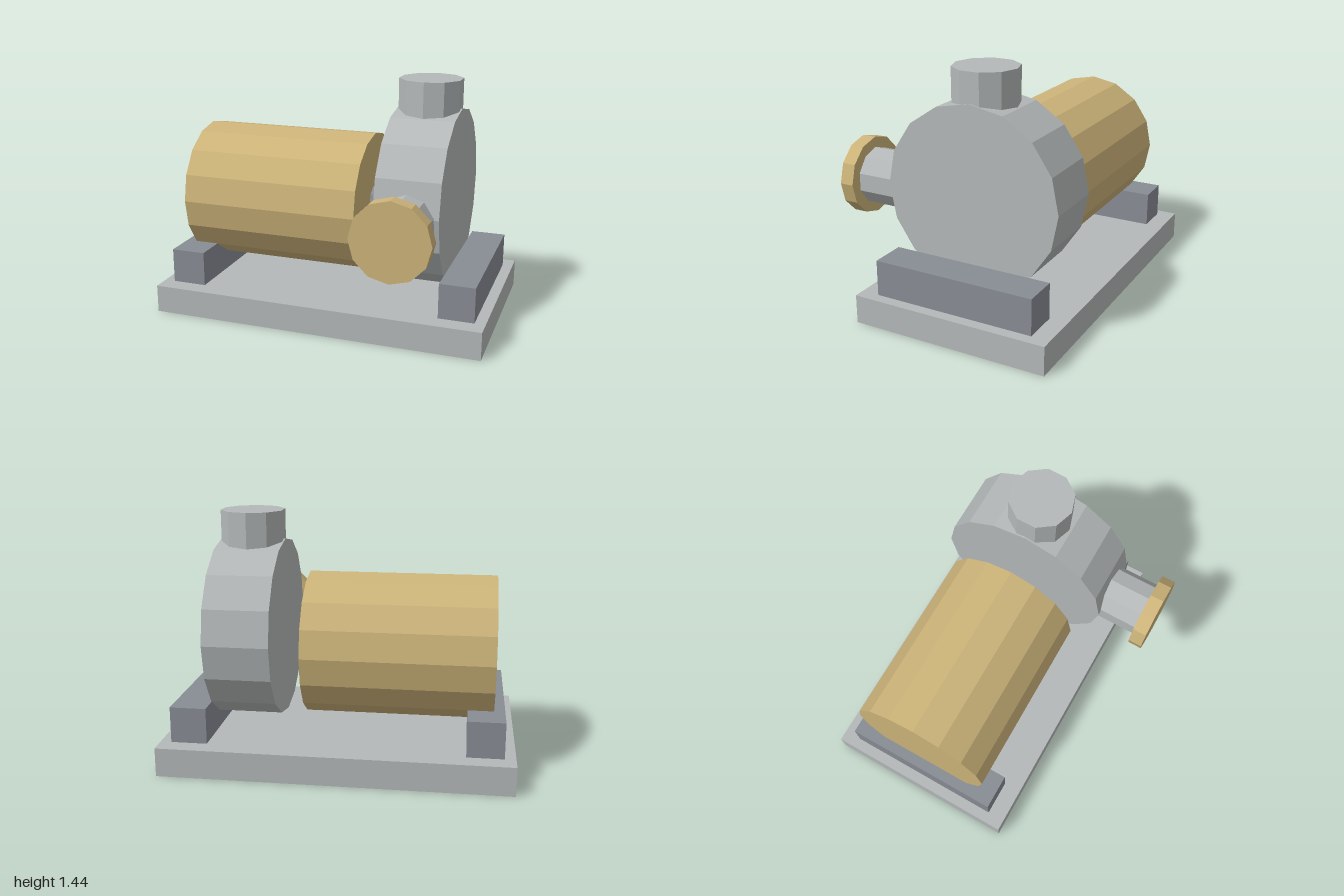
import * as THREE from 'three';

export function createModel() {
  const model = new THREE.Group();
  model.name = 'pump';

  const material = (name, color) => {
    const m = new THREE.MeshStandardMaterial({ color, flatShading: true });
    m.name = name;
    return m;
  };
  const lightGrey = material('lightGrey', 0xb4b8b8);
  const darkGrey = material('darkGrey', 0x888c94);
  const brass = material('brass', 0xccb379);

  const midZ = -0.125;

  const add = (name, geometry, mat, x, y, z) => {
    const mesh = new THREE.Mesh(geometry, mat);
    mesh.name = name;
    mesh.position.set(x, y, z);
    model.add(mesh);
  };

  // Faceted cylinder running from one end to the other along an axis
  const cylinder = (name, axis, radius, from, to, sides, mat, x, y, z) => {
    const g = new THREE.CylinderGeometry(radius, radius, to - from, sides);
    if (axis === 'x') g.rotateZ(-Math.PI / 2);
    if (axis === 'z') g.rotateX(Math.PI / 2);
    const centre = { x, y, z };
    centre[axis] = (from + to) / 2;
    add(name, g, mat, centre.x, centre.y, centre.z);
  };

  // Base plate and its two cross feet
  add('basePlate', new THREE.BoxGeometry(2, 0.167, 1.167), lightGrey, 0, 0.0835, midZ);
  for (const [name, side] of [['leftFoot', 1], ['rightFoot', -1]]) {
    add(name, new THREE.BoxGeometry(0.208, 0.208, 0.955), darkGrey, side * 0.833, 0.271, midZ);
  }

  // Motor with its shaft end
  cylinder('motor', 'x', 0.417, -0.875, 0.205, 16, brass, 0, 0.67, -0.13);
  cylinder('shaft', 'x', 0.104, 0.1, 0.225, 10, darkGrey, 0, 0.667, -0.13);

  // Pump casing with upright outlet
  cylinder('pumpCasing', 'x', 0.52, 0.352, 0.727, 16, lightGrey, 0, 0.752, midZ);
  cylinder('outletPipe', 'y', 0.187, 1.1, 1.44, 10, lightGrey, 0.54, 0, midZ);

  // Front inlet pipe and flange
  cylinder('inletPipe', 'z', 0.166, 0.2, 0.63, 10, lightGrey, 0.54, 0.71, 0);
  cylinder('inletFlange', 'z', 0.228, 0.625, 0.708, 12, brass, 0.54, 0.71, 0);

  return model;
}
